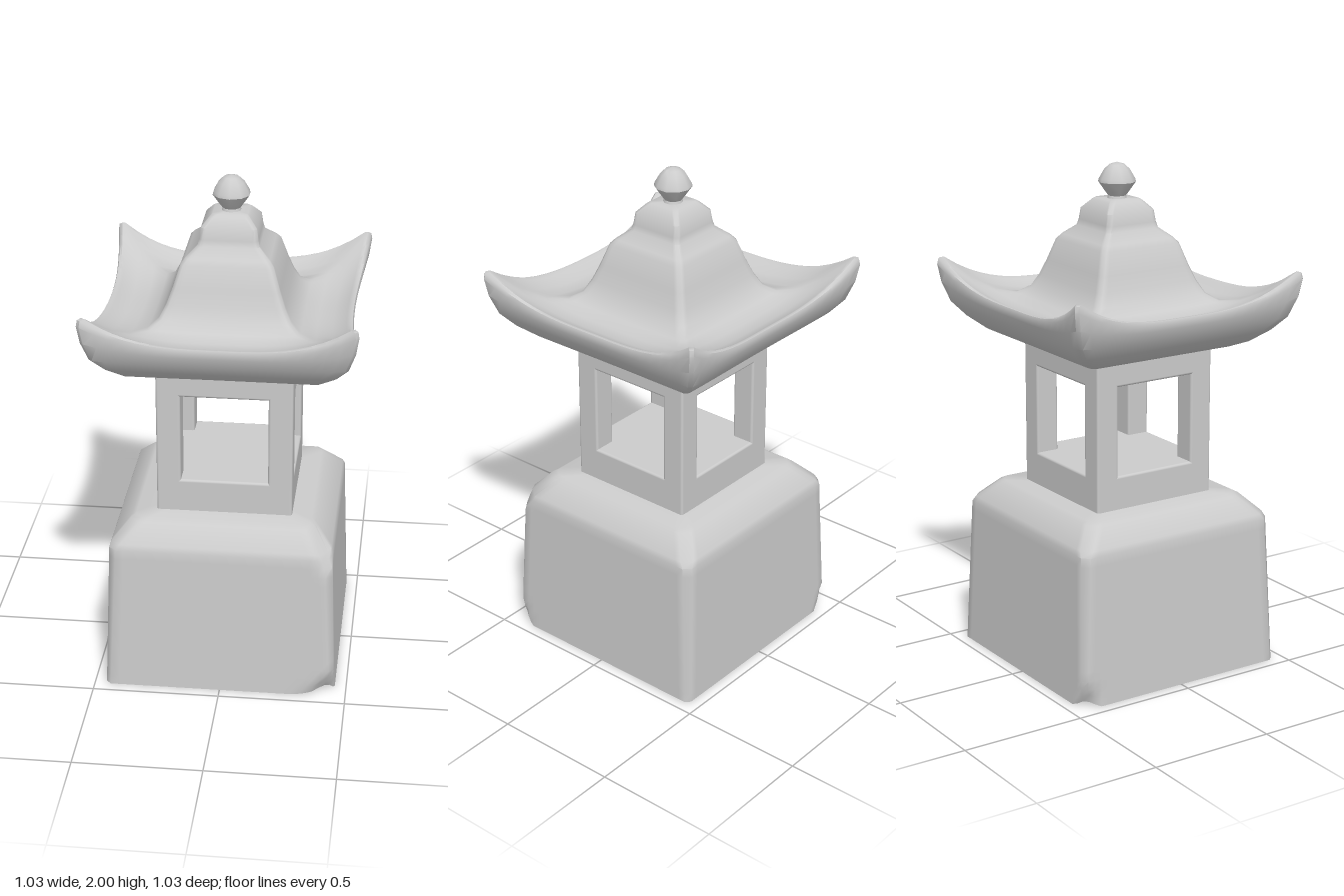
import * as THREE from 'three';
import { toCreasedNormals, mergeVertices } from 'three/addons/utils/BufferGeometryUtils.js';
import { RoundedBoxGeometry } from 'three/addons/geometries/RoundedBoxGeometry.js';

const stone = new THREE.MeshStandardMaterial({ color: 0xcccccc });

// Closed loft of square rings. Each ring: h = half width at the corners, y = height,
// bow = inward bend at mid-side, lift = rise at the corners, cut = corner chamfer.
function squareLoft(rings, n, shape = () => {}) {
  const pos = [], index = [], count = 4 * (n + 1);
  const p = new THREE.Vector3(), up = new THREE.Vector3(0, 1, 0);
  const add = () => { shape(p); pos.push(p.x, p.y, p.z); };
  for (const { h, y, bow = 0, lift = 0, cut = 0.012 } of rings) {
    for (let side = 0; side < 4; side++) {
      for (let i = 0; i <= n; i++) {
        const s = (2 * i) / n - 1;
        p.set(s * (h - cut), y + lift * Math.abs(s) ** 3, h - bow * (1 - s * s));
        p.applyAxisAngle(up, (side * Math.PI) / 2);
        add();
      }
    }
  }
  for (let r = 0; r < rings.length - 1; r++) {
    for (let j = 0; j < count; j++) {
      const a = r * count + j, b = r * count + ((j + 1) % count);
      index.push(a, b, b + count, a, b + count, a + count);
    }
  }
  // Flat caps
  const last = rings.length - 1, bottom = pos.length / 3;
  p.set(0, rings[0].y, 0); add();
  p.set(0, rings[last].y, 0); add();
  for (let j = 0; j < count; j++) {
    const k = (j + 1) % count;
    index.push(bottom, k, j, bottom + 1, last * count + j, last * count + k);
  }
  const geo = new THREE.BufferGeometry();
  geo.setAttribute('position', new THREE.Float32BufferAttribute(pos, 3));
  geo.setIndex(index);
  return toCreasedNormals(geo, 0.85);
}

// Broken corners: stone beyond each plane is pushed back onto it, with a rough surface
const chips = [
  { n: [0.4, -0.45, 0.8], d: 0.49 },
  { n: [-0.7, -0.35, -0.6], d: 0.54 },
  { n: [0.55, 0.4, 0.55], d: 0.687 },
].map(({ n, d }) => {
  const v = new THREE.Vector3(...n);
  const length = v.length();
  return { n: v.divideScalar(length), d: d / length };
});
function chipCorners(p) {
  for (const { n, d } of chips) {
    const rough = 0.006 * Math.sin(p.x * 47 + p.y * 31) * Math.sin(p.z * 53 - p.y * 37);
    const over = p.dot(n) - d - rough;
    if (over > 0) p.addScaledVector(n, -over);
  }
  p.y = Math.max(p.y, 0);
}

function mesh(name, geometry, x = 0, y = 0, z = 0) {
  const m = new THREE.Mesh(geometry, stone);
  m.name = name;
  m.position.set(x, y, z);
  return m;
}

export function createModel() {
  const model = new THREE.Group();
  model.name = 'stoneLantern';

  // Pedestal: slightly tapered block with a sloped shoulder
  const baseRings = [];
  for (let i = 0; i <= 16; i++) {
    const t = i / 16;
    baseRings.push({ h: 0.455 - 0.02 * t, y: 0.6 * t, cut: 0.018 + 0.01 * t });
  }
  baseRings.push(
    { h: 0.427, y: 0.622, cut: 0.035 },
    { h: 0.36, y: 0.692, cut: 0.035 },
    { h: 0.342, y: 0.702, cut: 0.03 },
  );
  model.add(mesh('pedestal', squareLoft(baseRings, 28, chipCorners)));

  // Light chamber: sill, four posts and lintel, open on every side
  const chamber = new THREE.Group();
  chamber.name = 'lightChamber';
  chamber.add(mesh('sill', new RoundedBoxGeometry(0.53, 0.145, 0.53, 2, 0.01), 0, 0.7625, 0));
  chamber.add(mesh('lintel', new RoundedBoxGeometry(0.53, 0.12, 0.53, 2, 0.01), 0, 1.25, 0));
  for (const x of [-1, 1]) {
    for (const z of [-1, 1]) {
      chamber.add(mesh('post', new RoundedBoxGeometry(0.095, 0.42, 0.095, 2, 0.01), x * 0.2175, 1.0125, z * 0.2175));
    }
  }
  model.add(chamber);

  // Roof: underside, rounded eave with upswept corners, gutter, then stepped peak
  const roofRings = [
    [0.24, 1.295, 0, 0],
    [0.32, 1.295, 0, 0],
    [0.375, 1.318, 0.005, 0.002],
    [0.435, 1.362, 0.012, 0.008],
    [0.48, 1.405, 0.025, 0.02],
    [0.506, 1.447, 0.034, 0.055],
    [0.517, 1.472, 0.04, 0.1],
    [0.513, 1.482, 0.04, 0.114],
    [0.5, 1.483, 0.038, 0.117],
    [0.484, 1.474, 0.034, 0.112],
    [0.42, 1.452, 0.022, 0.07],
    [0.35, 1.45, 0.01, 0.03],
    [0.29, 1.466, 0.004, 0.008],
    [0.25, 1.502, 0, 0],
    [0.225, 1.55, 0, 0],
    [0.203, 1.61, 0, 0],
    [0.176, 1.695, 0, 0],
    [0.16, 1.715, 0, 0],
    [0.118, 1.752, 0, 0],
    [0.112, 1.775, 0, 0],
    [0.106, 1.82, 0, 0],
    [0.075, 1.855, 0, 0],
    [0.066, 1.862, 0, 0],
  ].map(([h, y, bow, lift]) => ({ h, y, bow, lift }));
  model.add(mesh('roof', squareLoft(roofRings, 20)));

  // Finial: small faceted bud on a flared neck
  const bud = [
    [0.04, 1.855], [0.035, 1.872], [0.045, 1.885], [0.073, 1.925],
    [0.07, 1.937], [0.05, 1.972], [0.03, 1.991], [0, 2],
  ].map(([r, y]) => new THREE.Vector2(r, y));
  const finial = new THREE.LatheGeometry(bud, 10);
  finial.deleteAttribute('uv');
  finial.deleteAttribute('normal');
  model.add(mesh('finial', toCreasedNormals(mergeVertices(finial), 0.7)));

  return model;
}
